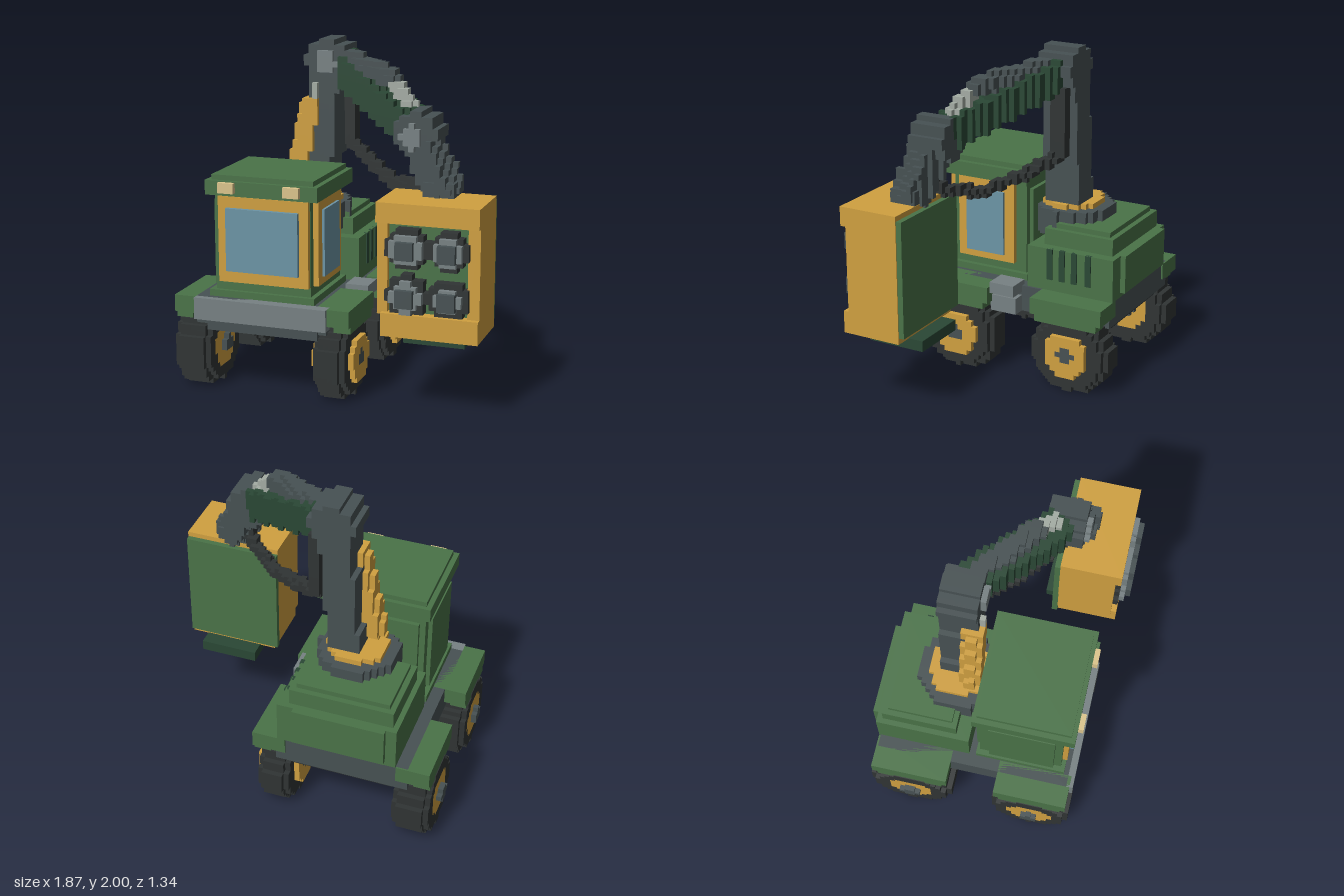
import * as THREE from 'three';

const V = 2 / 63; // voxel size
const C = {
  green: 0x4a7348, deep: 0x2a4835, yellow: 0xd0a040, grey: 0x475153, steel: 0x778183,
  rod: 0xa4aca4, black: 0x303434, glass: 0x6c95a6, lamp: 0xdcc58c, under: 0x2a2f31,
};
const DIRS = [[1, 0, 0], [-1, 0, 0], [0, 1, 0], [0, -1, 0], [0, 0, 1], [0, 0, -1]];

export function createModel() {
  const root = new THREE.Group();
  const mats = {};
  const mat = (c) => (mats[c] ??= new THREE.MeshStandardMaterial({ color: C[c], flatShading: true }));
  const add = (name, color, geo, parent = root) => {
    const m = new THREE.Mesh(geo, mat(color));
    m.name = name;
    parent.add(m);
    return m;
  };
  // Box from its limits on each axis
  const box = (name, color, x0, x1, y0, y1, z0, z1, parent) => {
    const g = new THREE.BoxGeometry(x1 - x0, y1 - y0, z1 - z0);
    g.translate((x0 + x1) / 2, (y0 + y1) / 2, (z0 + z1) / 2);
    return add(name, color, g, parent);
  };
  // Stepped solid: every grid cell whose centre passes the test, outer faces only
  const voxels = (name, color, lo, hi, test, parent) => {
    const pos = [], norm = [], idx = [];
    const i0 = lo.map((v) => Math.floor(v / V) - 1), i1 = hi.map((v) => Math.ceil(v / V) + 1);
    const inside = (i, j, k) => test(i * V, (j + 0.5) * V, (k + 0.5) * V);
    for (let i = i0[0]; i <= i1[0]; i++) for (let j = i0[1]; j <= i1[1]; j++) for (let k = i0[2]; k <= i1[2]; k++) {
      if (!inside(i, j, k)) continue;
      const c = [i * V, (j + 0.5) * V, (k + 0.5) * V];
      for (const d of DIRS) {
        if (inside(i + d[0], j + d[1], k + d[2])) continue;
        const a = d.findIndex((v) => v !== 0), u = (a + 1) % 3, w = (a + 2) % 3, s = d[a];
        const n = pos.length / 3;
        for (const [p, q] of [[-1, -1], [1, -1], [1, 1], [-1, 1]]) {
          const v = [...c];
          v[a] += s * V / 2; v[u] += p * s * V / 2; v[w] += q * V / 2;
          pos.push(...v);
          norm.push(...d);
        }
        idx.push(n, n + 1, n + 2, n, n + 2, n + 3);
      }
    }
    const g = new THREE.BufferGeometry();
    g.setAttribute('position', new THREE.Float32BufferAttribute(pos, 3));
    g.setAttribute('normal', new THREE.Float32BufferAttribute(norm, 3));
    g.setIndex(idx);
    return add(name, color, g, parent);
  };
  // Stepped bar along a polyline; h, w are half height and half width (round if w is omitted)
  const bar = (name, color, pts, h, w) => {
    const P = pts.map((p) => new THREE.Vector3(...p));
    const segs = P.slice(1).map((b, n) => {
      const d = b.clone().sub(P[n]), len = d.length();
      d.normalize();
      const side = new THREE.Vector3(-d.z, 0, d.x);
      if (side.length() < 0.15) side.set(0, 0, 1);
      side.normalize();
      return { a: P[n], d, len, side, up: side.clone().cross(d).normalize() };
    });
    const bb = new THREE.Box3().setFromPoints(P).expandByScalar(Math.max(h, w ?? 0));
    const q = new THREE.Vector3();
    return voxels(name, color, bb.min.toArray(), bb.max.toArray(), (x, y, z) => segs.some((s) => {
      q.set(x, y, z).sub(s.a);
      const t = q.dot(s.d);
      if (w === undefined) return q.addScaledVector(s.d, -Math.min(s.len, Math.max(0, t))).length() < h;
      return t > -0.01 && t < s.len + 0.01 && Math.abs(q.dot(s.side)) < w && Math.abs(q.dot(s.up)) < h;
    }));
  };
  // Stepped disc about one axis (0 x, 1 y, 2 z), between two limits on it
  const disc = (name, color, axis, c, r, from, to, parent) => {
    const lo = c.map((v) => v - r), hi = c.map((v) => v + r);
    lo[axis] = from; hi[axis] = to;
    return voxels(name, color, lo, hi, (...p) => {
      if (p[axis] < from || p[axis] > to) return false;
      return Math.hypot(...p.map((v, n) => (n === axis ? 0 : v - c[n]))) < r;
    }, parent);
  };

  // Wheels: rounded tyre, rim and hub
  for (const [side, cx, half, rimHalf, hubHalf] of [['right', -0.794, 0.11, 0.11, 0.143], ['left', 0.048, 0.095, 0.125, 0.126]]) {
    for (const [end, cz] of [['front', 0.333], ['rear', -0.413]]) {
      const wheel = new THREE.Group();
      wheel.name = `${side} ${end} wheel`;
      root.add(wheel);
      const ring = (name, color, r0, r1, hw) => voxels(name, color, [cx - hw, 0, cz - r1], [cx + hw, 0.5, cz + r1], (x, y, z) => {
        const r = Math.hypot(y - 0.23, z - cz), dx = Math.abs(x - cx);
        const out = name === 'tyre' && dx > hw - V ? r1 - 0.03 : r1;
        return dx < hw && r >= r0 && r < out && y > 0;
      }, wheel);
      ring('tyre', 'black', 0.135, 0.245, half);
      ring('rim', 'yellow', 0.05, 0.135, rimHalf);
      ring('hub', 'grey', 0, 0.05, hubHalf);
    }
  }

  // Chassis, bumper, fenders and step
  box('chassis', 'grey', -0.77, 0.03, 0.4, 0.56, -0.63, 0.53);
  box('underbody', 'under', -0.67, -0.06, 0.365, 0.4, -0.6, 0.5);
  box('bumper', 'steel', -0.77, 0.04, 0.43, 0.56, 0.5, 0.57);
  box('bumper lip', 'grey', -0.7, -0.02, 0.365, 0.43, 0.48, 0.54);
  box('boarding step', 'steel', 0, 0.11, 0.4, 0.5, -0.05, 0.12);
  box('upper step', 'steel', 0, 0.14, 0.52, 0.59, -0.05, 0.11);
  for (const [z0, z1, end] of [[0.11, 0.55, 'front'], [-0.64, -0.18, 'rear']]) {
    for (const [x0, x1, y0, dx] of [[-0.9, -0.7, 0.46, -0.03], [-0.03, 0.172, 0.46, 0.03]]) {
      box(`${end} fender`, 'green', x0, x1, y0, 0.56, z0, z1);
      box(`${end} fender lip`, 'green', x0 + (dx < 0 ? 0 : 0.1), x1 - (dx < 0 ? 0.1 : 0), 0.42, y0, z0 + 0.03, z1 - 0.03);
    }
  }

  // Cab with framed windows at the front and the left side
  const cab = new THREE.Group();
  cab.name = 'cab';
  root.add(cab);
  box('cab shell', 'green', -0.665, -0.082, 0.56, 1.18, -0.02, 0.475, cab);
  box('cab sill', 'green', -0.698, -0.052, 0.56, 0.6, -0.04, 0.5, cab);
  box('cab back panel', 'green', -0.63, -0.12, 0.62, 1.12, -0.045, -0.02, cab);
  box('cab side panel', 'green', -0.69, -0.66, 0.62, 1.12, 0.04, 0.43, cab);
  box('front window frame', 'yellow', -0.635, -0.085, 0.655, 1.16, 0.47, 0.505, cab);
  box('front window', 'glass', -0.58, -0.14, 0.725, 1.095, 0.5, 0.53, cab);
  box('side window frame', 'yellow', -0.085, -0.05, 0.655, 1.16, 0.05, 0.43, cab);
  box('side window', 'glass', -0.06, -0.035, 0.7, 1.095, 0.115, 0.37, cab);
  box('roof', 'green', -0.698, -0.016, 1.17, 1.255, -0.055, 0.54, cab);
  box('roof cap', 'green', -0.667, -0.048, 1.25, 1.285, -0.03, 0.515, cab);
  for (const x of [-0.56, -0.165]) box('headlight', 'lamp', x - 0.048, x + 0.048, 1.19, 1.25, 0.53, 0.57, cab);

  // Engine housing with vents on its left side
  box('engine housing', 'green', -0.698, 0.016, 0.56, 0.82, -0.64, -0.08);
  box('engine back panel', 'green', -0.635, -0.085, 0.59, 0.82, -0.672, -0.64);
  box('engine hood', 'green', -0.667, -0.048, 0.81, 0.92, -0.605, -0.16);
  box('engine hood cap', 'green', -0.635, -0.08, 0.91, 0.95, -0.572, -0.19);
  for (const z of [-0.23, -0.31, -0.39, -0.48]) box('vent', 'deep', 0, 0.024, 0.63, 0.82, z - 0.018, z + 0.018);

  // Slewing ring and mast
  disc('slewing ring', 'grey', 1, [-0.33, 0, -0.21], 0.235, 0.87, 1.02);
  disc('slewing cap', 'yellow', 1, [-0.33, 0, -0.21], 0.175, 1.02, 1.05);
  bar('mast', 'grey', [[-0.27, 1.03, -0.206], [-0.2, 1.9, -0.206]], 0.09, 0.105);
  disc('mast head', 'grey', 2, [-0.19, 1.87, 0], 0.13, -0.31, -0.09);
  disc('mast pivot', 'steel', 2, [-0.19, 1.87, 0], 0.065, -0.1, -0.06);
  bar('mast cylinder', 'yellow', [[-0.39, 1.12, -0.125], [-0.285, 1.6, -0.125]], 0.07);
  bar('mast cylinder rod', 'rod', [[-0.28, 1.62, -0.12], [-0.235, 1.76, -0.12]], 0.042);

  // Boom, its cylinder, elbow and stick
  bar('boom', 'deep', [[-0.13, 1.85, -0.2], [0.43, 1.58, 0.21]], 0.085, 0.095);
  bar('boom cylinder', 'grey', [[-0.15, 1.9, -0.2], [0.27, 1.82, 0.09]], 0.06);
  bar('boom cylinder rod', 'rod', [[0.29, 1.81, 0.1], [0.41, 1.68, 0.19]], 0.042);
  disc('elbow', 'grey', 2, [0.49, 1.555, 0], 0.12, 0.12, 0.345);
  disc('elbow pivot', 'steel', 2, [0.47, 1.54, 0], 0.065, 0.34, 0.38);
  bar('stick', 'grey', [[0.5, 1.54, 0.25], [0.6, 1.34, 0.29], [0.66, 1.22, 0.32]], 0.085, 0.09);
  box('stick foot', 'grey', 0.55, 0.73, 1.2, 1.3, 0.24, 0.4);

  // Hanging hose
  bar('hose drop', 'black', [[-0.085, 1.78, -0.24], [-0.085, 1.38, -0.24]], 0.033, 0.04);
  const sag = new THREE.CatmullRomCurve3([[-0.085, 1.38, -0.24], [0.03, 1.32, -0.16], [0.18, 1.25, -0.03],
    [0.3, 1.215, 0.07], [0.42, 1.24, 0.17], [0.51, 1.28, 0.24], [0.52, 1.4, 0.25]].map((p) => new THREE.Vector3(...p)));
  bar('hose', 'black', sag.getPoints(24).map((p) => p.toArray()), 0.034);

  // Light box: back plate, yellow casing with projecting bands, base block
  const lights = new THREE.Group();
  lights.name = 'light box';
  root.add(lights);
  box('back plate', 'green', 0.345, 0.925, 0.5, 1.19, 0.205, 0.24, lights);
  box('core', 'green', 0.4, 0.87, 0.58, 1.12, 0.235, 0.54, lights);
  for (const [x0, x1] of [[0.345, 0.405], [0.862, 0.93]]) box('side wall', 'yellow', x0, x1, 0.58, 1.12, 0.238, 0.572, lights);
  box('top band', 'yellow', 0.345, 0.93, 1.105, 1.22, 0.238, 0.605, lights);
  box('bottom band', 'yellow', 0.375, 0.93, 0.462, 0.595, 0.238, 0.605, lights);
  box('base block', 'deep', 0.475, 0.83, 0.4, 0.465, 0.145, 0.5, lights);
  for (const x of [0.524, 0.762]) for (const y of [0.968, 0.698]) {
    const r = x < 0.6 ? 0.118 : 0.107;
    disc('lamp housing', 'black', 2, [x, y, 0], r, 0.5, 0.6, lights);
    disc('lamp ring', 'steel', 2, [x, y, 0], r - 0.03, 0.6, 0.635, lights);
    box('lamp centre', 'grey', x - 0.05, x + 0.05, y - 0.05, y + 0.05, 0.62, 0.667, lights);
  }
  return root;
}
